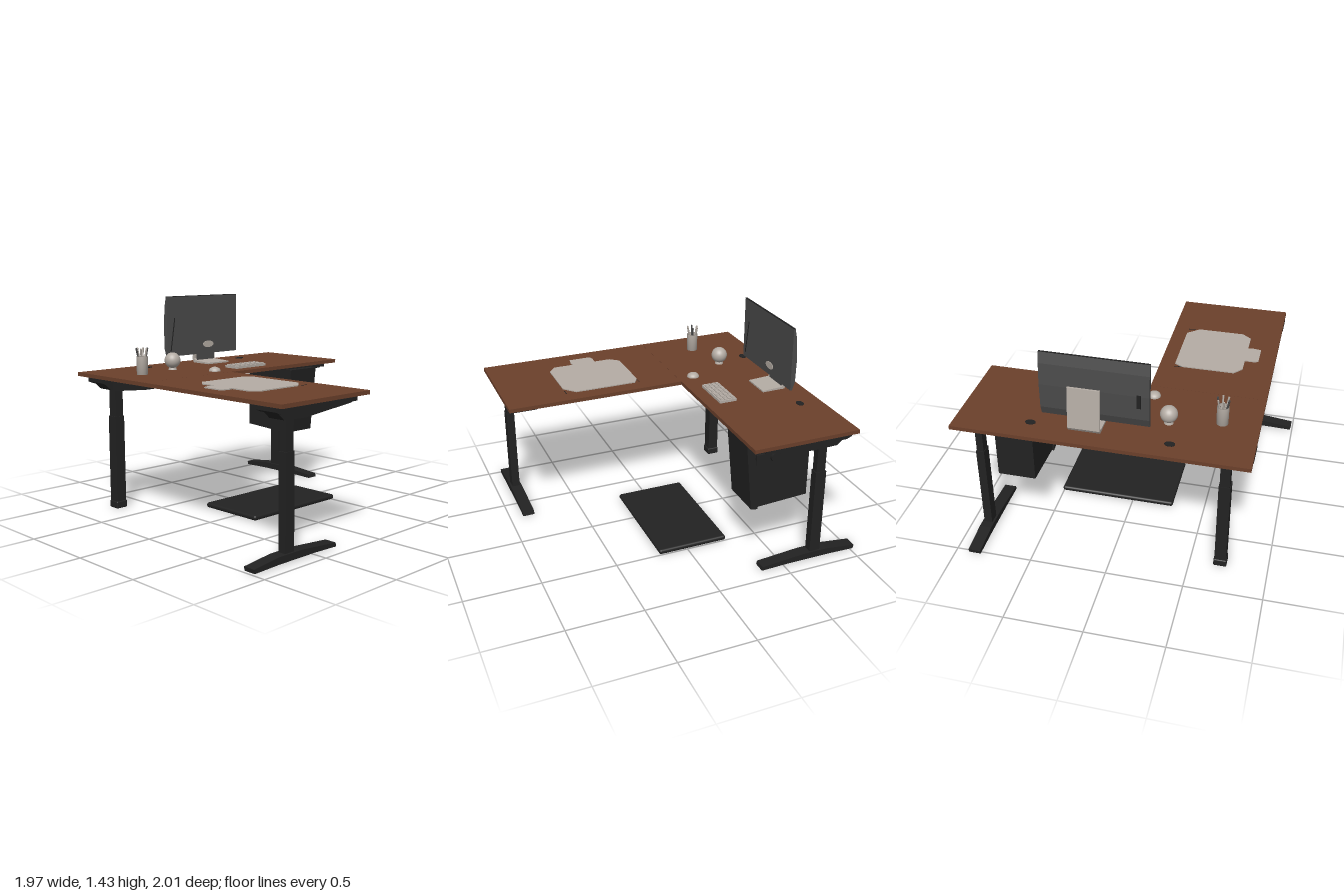
import * as THREE from 'three';
import { RoundedBoxGeometry } from 'three/addons/geometries/RoundedBoxGeometry.js';

const mat = (name, color) => {
  const m = new THREE.MeshStandardMaterial({ color });
  m.name = name;
  return m;
};

export function createModel() {
  const root = new THREE.Group();
  root.name = 'cornerDesk';
  const wood = mat('walnut', 0x6b402b);
  const black = mat('black', 0x222222);
  const grey = mat('screenGrey', 0x4a4a4a);
  const beige = mat('beige', 0xb4aca4);

  const add = (name, geo, material, x = 0, y = 0, z = 0, parent = root) => {
    const m = new THREE.Mesh(geo, material);
    m.name = name;
    m.position.set(x, y, z);
    parent.add(m);
    return m;
  };
  // box given by its limits on each axis
  const box = (name, material, [x0, x1], [y0, y1], [z0, z1], parent = root) =>
    add(name, new THREE.BoxGeometry(x1 - x0, y1 - y0, z1 - z0), material,
      (x0 + x1) / 2, (y0 + y1) / 2, (z0 + z1) / 2, parent);
  // profile in (length, height), extruded to a centred width
  const slab = (points, width) => {
    const shape = new THREE.Shape(points.map(p => new THREE.Vector2(...p)));
    return new THREE.ExtrudeGeometry(shape, { depth: width, bevelEnabled: false })
      .translate(0, 0, -width / 2);
  };
  // same, with the length running along z
  const slabZ = (points, width) => slab(points, width).rotateY(-Math.PI / 2);

  // worktops
  box('mainTop', wood, [-0.86, 0.98], [0.91, 0.935], [-0.93, -0.21]);
  box('returnTop', wood, [-0.86, -0.11], [0.91, 0.935], [-0.209, 0.99]);

  // pale panel under the worktop
  const under = new THREE.Shape([[0.35, -0.57], [-0.07, -0.23], [-0.4, -0.7], [0.03, -0.92]]
    .map(([x, z]) => new THREE.Vector2(x, z)));
  add('undersidePanel', new THREE.ExtrudeGeometry(under, { depth: 0.004, bevelEnabled: false })
    .rotateX(Math.PI / 2), beige, 0, 0.91, 0);

  // leg assemblies; the local long axis is x
  const arm = (len, w, parent, turn = 0) => {
    const g = new THREE.Group();
    g.name = 'topBracket';
    g.rotation.y = turn;
    parent.add(g);
    add('bracketFlange', slab([[-0.165, 0.91], [-0.165, 0.885], [-0.13, 0.87],
      [len, 0.875], [len, 0.91]], w), black, 0, 0, 0, g);
    add('bracketKeel', slab([[-0.13, 0.875], [-0.08, 0.83], [0.09, 0.825],
      [len - 0.03, 0.865], [len - 0.01, 0.88]], w * 0.75), black, 0, 0, 0, g);
  };
  const leg = (name, x, z, turn, len, footed, thick) => {
    const g = new THREE.Group();
    g.name = name;
    g.position.set(x, 0, z);
    g.rotation.y = turn;
    root.add(g);
    box('lowerColumn', black, [-0.037, 0.037], [0.03, 0.64], [-thick / 2, thick / 2], g);
    box('upperColumn', black, [-0.03, 0.032], [0.64, 0.85], [-thick / 2 + 0.004, thick / 2 - 0.004], g);
    arm(len, 0.155, g);
    if (footed) {
      add('foot', slab([[-0.29, 0.004], [-0.295, 0.03], [-0.09, 0.054], [0.09, 0.054],
        [0.385, 0.03], [0.39, 0.004], [0.2, 0.01], [-0.1, 0.01]], 0.08), black, 0, 0, 0, g);
    } else {
      add('foot', new RoundedBoxGeometry(0.085, 0.05, 0.085, 2, 0.008), black, 0, 0.025, 0, g);
      arm(0.43, 0.155, g, -Math.PI / 2);
    }
  };
  leg('frontLeg', -0.695, 0.87, 0, 0.52, true, 0.054);
  leg('rightLeg', 0.873, -0.73, -Math.PI / 2, 0.43, true, 0.054);
  leg('cornerLeg', -0.695, -0.73, 0, 0.5, false, 0.074);

  // floor mat
  add('floorMat', new RoundedBoxGeometry(0.79, 0.034, 0.48, 3, 0.015), black, 0.11, 0.021, -0.04);

  // hanging storage unit
  const cab = new THREE.Group();
  cab.name = 'hangingCabinet';
  root.add(cab);
  add('cabinetBody', slabZ([[-0.3, 0.885], [-0.34, 0.41], [-0.7, 0.43], [-0.7, 0.885]], 0.25),
    black, 0.665, 0, 0, cab);
  add('cabinetFront', slabZ([[-0.25, 0.885], [-0.298, 0.41], [-0.345, 0.4], [-0.305, 0.885]], 0.27),
    black, 0.665, 0, 0, cab);
  box('cabinetCollar', black, [0.525, 0.805], [0.72, 0.79], [-0.69, -0.32], cab);
  box('cabinetMount', black, [0.48, 0.82], [0.885, 0.91], [-0.69, -0.3], cab);
  for (const x of [0.52, 0.81]) {
    add('cabinetKnob', new THREE.CylinderGeometry(0.035, 0.035, 0.03, 16).rotateZ(Math.PI / 2),
      black, x, 0.76, -0.45, cab);
  }

  // monitor on a bent stand
  add('monitorBody', slabZ([[-0.742, 1.43], [-0.752, 1.43], [-0.768, 1.36], [-0.778, 1.22],
    [-0.774, 1.06], [-0.756, 1.005], [-0.742, 1.005]], 0.67), grey, 0.105, 0, 0);
  box('monitorTopEdge', black, [-0.23, 0.44], [1.428, 1.432], [-0.752, -0.741]);
  add('monitorStand', slabZ([[-0.77, 1.23], [-0.79, 1.23], [-0.815, 0.96], [-0.8, 0.937],
    [-0.64, 0.936], [-0.64, 0.946], [-0.785, 0.953], [-0.795, 0.97]], 0.2), beige, 0.165, 0, 0);
  box('standFrontCover', grey, [0.085, 0.25], [0.955, 1.02], [-0.792, -0.785]);
  const hinge = add('standHinge', new THREE.CylinderGeometry(0.05, 0.05, 0.006, 20)
    .rotateX(Math.PI / 2), beige, 0.155, 1.073, -0.741);
  hinge.scale.y = 0.5;
  box('screenMark', black, [-0.003, 0.003], [-0.12, 0.12], [-0.003, 0.003])
    .position.set(-0.18, 1.16, -0.741);
  root.getObjectByName('screenMark').rotation.z = -0.16;
  box('monitorPorts', black, [-0.18, -0.155], [1.14, 1.23], [-0.781, -0.775]);

  // keyboard with rows of keys
  box('keyboard', beige, [0.03, 0.315], [0.935, 0.952], [-0.42, -0.3]);
  for (let r = 0; r < 4; r++) {
    for (let c = 0; c < 12; c++) {
      add('key', new THREE.BoxGeometry(0.017, 0.006, 0.02), beige,
        0.047 + c * 0.0228, 0.955, -0.403 + r * 0.028);
    }
  }

  // mouse and ball
  add('mouse', new THREE.SphereGeometry(1, 20, 10, 0, Math.PI * 2, 0, Math.PI / 2), beige,
    -0.16, 0.935, -0.32).scale.set(0.041, 0.03, 0.042);
  add('ball', new THREE.SphereGeometry(0.055, 28, 18), beige, -0.31, 1.0, -0.59);
  add('ballBase', new THREE.CylinderGeometry(0.025, 0.03, 0.015, 20), beige, -0.31, 0.942, -0.59);

  // pencil cup
  const cup = [[0, 0], [0.037, 0], [0.038, 0.122], [0.033, 0.122], [0.032, 0.01], [0, 0.01]];
  add('pencilCup', new THREE.LatheGeometry(cup.map(p => new THREE.Vector2(...p)), 24), beige,
    -0.627, 0.936, -0.52);
  for (let i = 0; i < 6; i++) {
    const a = i * 1.05 + 0.3;
    const pen = add('pencil', new THREE.CylinderGeometry(0.006, 0.006, 0.165, 8), i % 3 ? beige : grey,
      -0.627 + 0.023 * Math.cos(a), 1.032, -0.52 + 0.023 * Math.sin(a));
    pen.rotation.set(0.2 * Math.sin(a), 0, -0.2 * Math.cos(a));
  }

  // cable grommets
  for (const [x, z] of [[-0.36, -0.805], [0.51, -0.78]]) {
    add('cableGrommet', new THREE.CylinderGeometry(0.033, 0.033, 0.008, 12), black, x, 0.936, z)
      .scale.z = 0.7;
  }

  // desk pad with clipped corners and a side tab
  const pad = new THREE.Shape([[-0.66, 0.12], [-0.61, 0.06], [-0.26, 0.06], [-0.21, 0.09],
    [-0.21, 0.51], [-0.29, 0.58], [-0.6, 0.58], [-0.66, 0.53], [-0.66, 0.39], [-0.69, 0.4],
    [-0.75, 0.39], [-0.75, 0.24], [-0.72, 0.23], [-0.66, 0.23]].map(p => new THREE.Vector2(...p)));
  add('deskPad', new THREE.ExtrudeGeometry(pad, { depth: 0.007, bevelEnabled: false })
    .rotateX(Math.PI / 2), beige, 0, 0.942, 0);
  for (const z of [0.06, 0.578]) {
    box('padCornerLine', black, [-0.26, -0.21], [0.934, 0.937], [z - 0.002, z + 0.002]);
  }
  return root;
}
